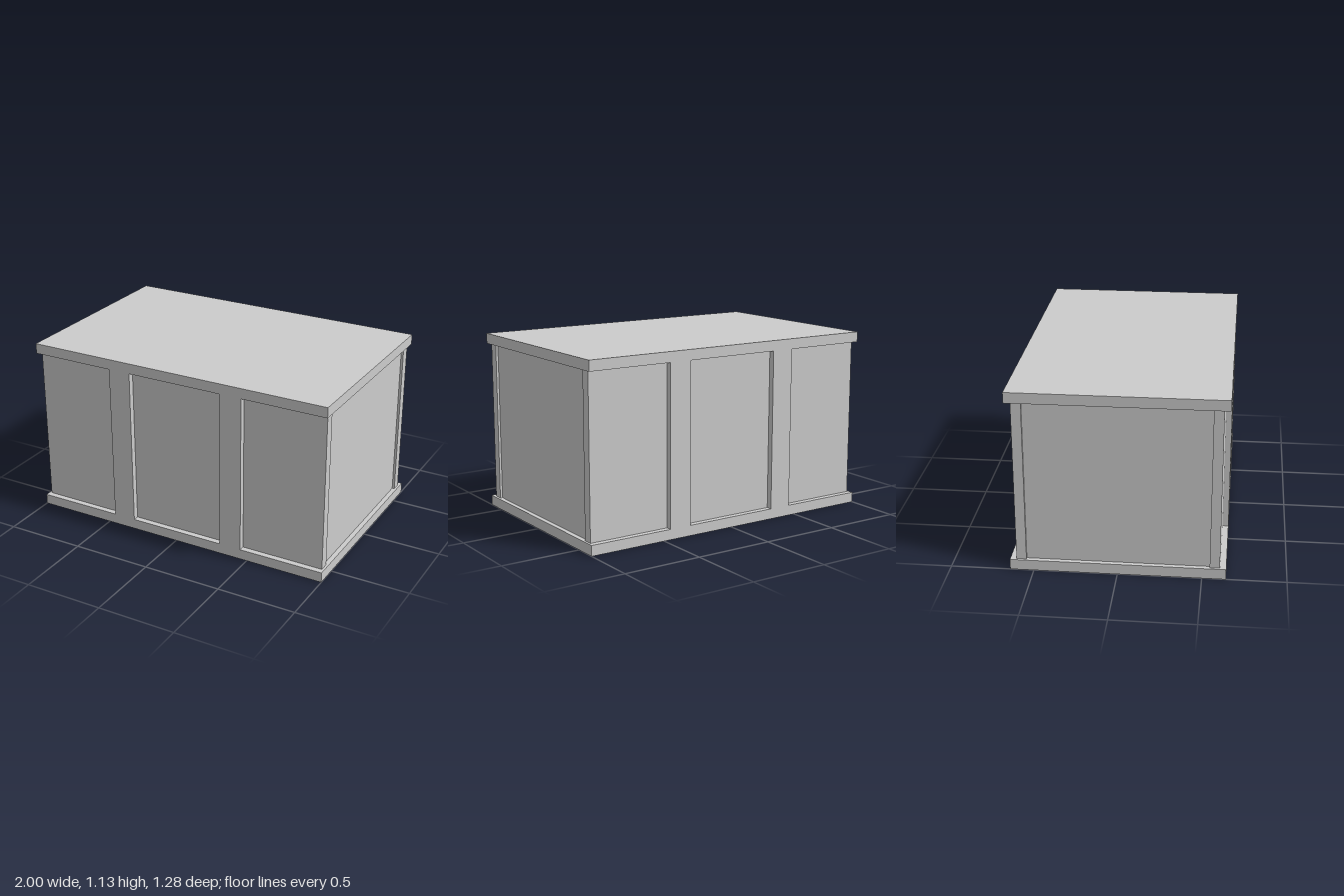
import * as THREE from 'three';

const SLAB = 0.065, HEIGHT = 1.135, DEPTH = 1.285;
const WALL_H = HEIGHT - 2 * SLAB, MID = HEIGHT / 2;

export function createModel() {
  const group = new THREE.Group();
  group.name = 'crate';
  const material = new THREE.MeshStandardMaterial({ color: 0xcccccc, flatShading: true });

  const addBox = (name, w, h, d, x, y, z) => {
    const mesh = new THREE.Mesh(new THREE.BoxGeometry(w, h, d), material);
    mesh.name = name;
    mesh.position.set(x, y, z);
    group.add(mesh);
  };

  // Overhanging base and lid
  addBox('base', 2, SLAB, DEPTH, 0, SLAB / 2, 0);
  addBox('lid', 2, SLAB, DEPTH, 0, HEIGHT - SLAB / 2, 0);

  for (const s of [1, -1]) {
    // Long walls, whose ends stand just proud of the side walls
    const face = s > 0 ? 'front' : 'back';
    addBox(face + 'Wall', 1.97, WALL_H, 0.06, 0, MID, s * 0.575);

    // Two upright battens on each long wall, flush with the slab edges
    for (const x of [-0.3825, 0.3825]) {
      addBox(face + 'Batten', 0.145, WALL_H, 0.0375, x, MID, s * 0.62375);
    }

    // Recessed side walls
    addBox(s > 0 ? 'leftWall' : 'rightWall', 0.06, WALL_H, 1.09, s * 0.94, MID, 0);
  }
  return group;
}
